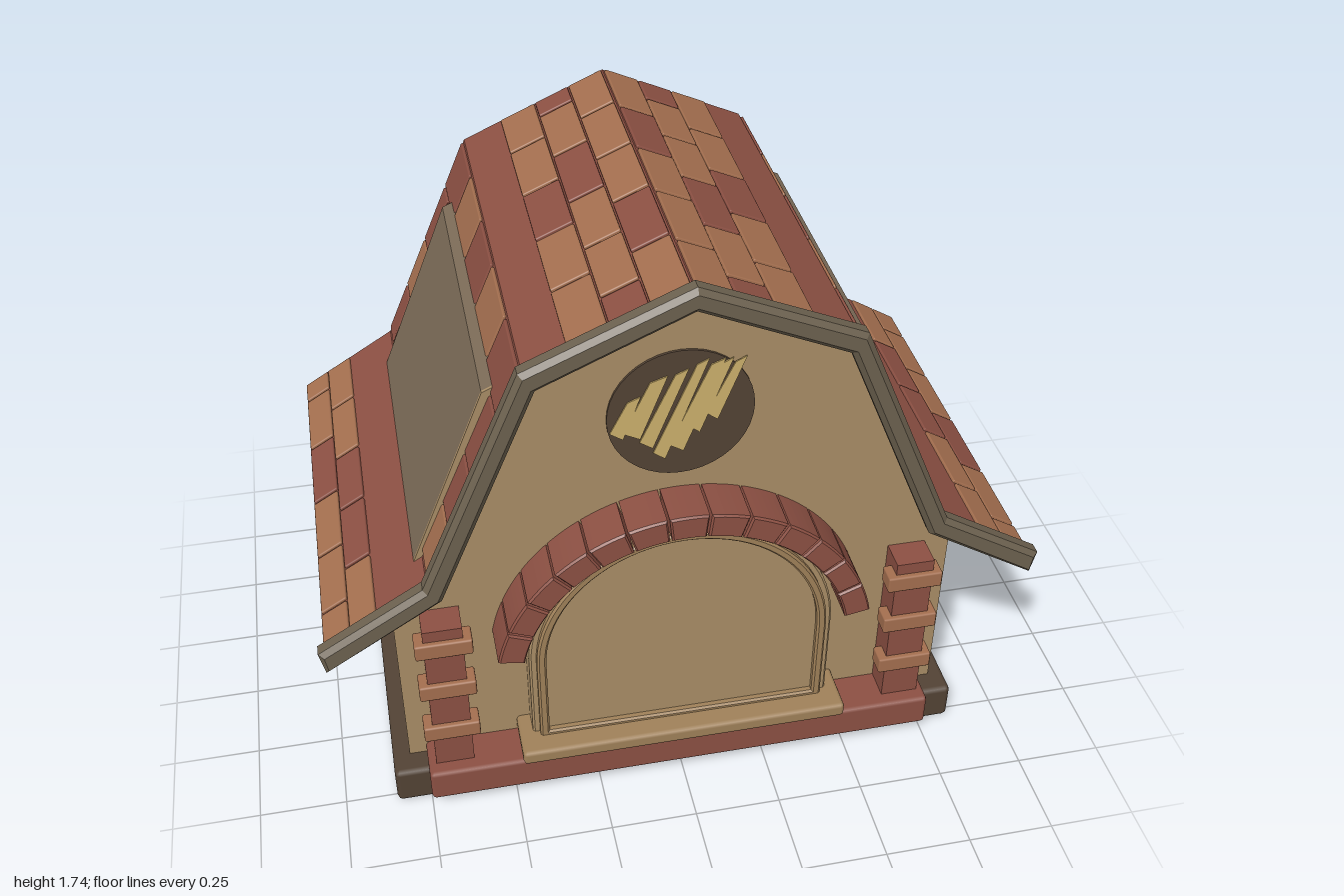
import * as THREE from 'three';
import { RoundedBoxGeometry } from 'three/addons/geometries/RoundedBoxGeometry.js';

const mat = (name, color, double = false) => {
  const m = new THREE.MeshStandardMaterial({ color });
  m.name = name;
  if (double) m.side = THREE.DoubleSide;
  return m;
};

export function createModel() {
  const M = {
    plaster: mat('tan plaster', 0xa98d66),
    wall: mat('grey brown wall', 0x7b6b57),
    red: mat('red brick', 0x8c5043),
    light: mat('light brick', 0xa46f4f),
    dark: mat('dark wood', 0x534335),
    trim: mat('roof trim', 0x6c614f),
    frame: mat('window wood', 0xa08159),
    mint: mat('mint glass', 0x8f9f89, true),
    yellow: mat('yellow glass', 0xcdb06c, true),
    brown: mat('brown glass', 0x98694f, true),
  };
  const root = new THREE.Group();
  root.name = 'barnHouse';

  const add = (name, geo, material, x = 0, y = 0, z = 0, parent = root) => {
    const m = new THREE.Mesh(geo, material);
    m.name = name;
    m.position.set(x, y, z);
    parent.add(m);
    return m;
  };
  // box given by its limits, with an optional softened edge
  const box = (name, material, x0, x1, y0, y1, z0, z1, r = 0, parent = root) => {
    const d = [x1 - x0, y1 - y0, z1 - z0];
    const geo = r ? new RoundedBoxGeometry(...d, 1, r) : new THREE.BoxGeometry(...d);
    return add(name, geo, material, (x0 + x1) / 2, (y0 + y1) / 2, (z0 + z1) / 2, parent);
  };
  const poly = (pts) => new THREE.Shape(pts.map(([x, y]) => new THREE.Vector2(x, y)));
  const extrude = (shape, depth, bevel = 0) => {
    const g = new THREE.ExtrudeGeometry(shape, {
      depth: depth - 2 * bevel, curveSegments: 20, bevelEnabled: bevel > 0,
      bevelSize: bevel, bevelOffset: -bevel, bevelThickness: bevel, bevelSegments: 1,
    });
    return g.translate(0, 0, bevel);
  };
  // closed outline from the right half, mirrored to the left
  const mirrored = (pts) =>
    poly([...pts, ...pts.filter((p) => p[0] > 0).reverse().map(([x, y]) => [-x, y])]);
  // folded band between an upper and a lower half line, ridge first
  const band = (top, under) => {
    const full = (h) => [...h.slice(1).reverse().map(([x, y]) => [-x, y]), ...h];
    return poly([...full(top).reverse(), ...full(under)]);
  };

  // Walls
  const gable = mirrored([[0.8, 0.1], [0.8, 0.68], [0.51, 1.395], [0, 1.63]]);
  add('walls', extrude(gable, 0.93), M.wall, 0, 0, -0.48);
  add('frontWall', extrude(gable, 0.009), M.plaster, 0, 0, 0.45);
  box('base', M.dark, -0.85, 0.85, 0, 0.12, -0.53, 0.53, 0.015);

  // Roof sheet and front trim
  const line = [[0, 1.715], [0.42, 1.53], [0.7, 0.882], [0.985, 0.708]];
  const under = [[0, 1.693], [0.405, 1.514], [0.685, 0.868], [0.975, 0.69]];
  add('roof', extrude(band(line, under), 1.21), M.red, 0, 0, -0.63);
  const trimTop = [[0, 1.74], [0.435, 1.552], [0.712, 0.907], [1.0, 0.73]];
  const trimLow = [[0, 1.672], [0.395, 1.497], [0.665, 0.86], [0.985, 0.66]];
  add('roofTrim', extrude(band(trimTop, trimLow), 0.06, 0.014), M.trim, 0, 0, 0.57);

  // Roof tiles: slope number, start and end along it, joints in z, colours (L light, R red)
  const even = [-0.625, -0.38, -0.13, 0.11, 0.36, 0.575];
  const odd = [-0.625, -0.5, -0.27, -0.03, 0.23, 0.48, 0.575];
  const rows = [
    [0, 0.01, 0.24, even, 'LRLLL'],
    [0, 0.25, 0.48, odd, 'RLLRLR'],
    [0, 0.49, 0.73, even, 'LLRLL'],
    [1, 0.01, 0.22, even, 'RLRLR'],
    [1, 0.23, 0.49, odd, 'RLRLRR'],
    [1, 0.50, 0.73, even, 'RRLRL'],
    [1, 0.74, 0.97, odd, 'LRLRLR'],
    [2, 0.48, 0.73, even, 'LRRLL'],
    [2, 0.74, 0.99, odd, 'LLLRLL'],
  ];
  const tiles = new THREE.Group();
  tiles.name = 'roofTiles';
  root.add(tiles);
  for (const s of [1, -1]) {
    for (const [k, t0, t1, joints, colours] of rows) {
      const [ax, ay] = line[k], [bx, by] = line[k + 1];
      const t = (t0 + t1) / 2, length = Math.hypot(bx - ax, by - ay);
      for (let i = 0; i < colours.length; i++) {
        const z0 = joints[i] + 0.005, z1 = joints[i + 1] - 0.005;
        const geo = new RoundedBoxGeometry(length * (t1 - t0), 0.016, z1 - z0, 1, 0.004);
        const tile = add('tile', geo, colours[i] === 'L' ? M.light : M.red,
          s * (ax + (bx - ax) * t), ay + (by - ay) * t, s * (z0 + z1) / 2, tiles);
        if (s < 0) tile.position.z -= 0.05;
        tile.rotation.z = s * Math.atan2(by - ay, bx - ax);
      }
    }
  }

  // Brick step and corner pillars
  box('brickStep', M.red, -0.75, 0.75, 0.055, 0.16, 0.45, 0.59, 0.012);
  for (const s of [1, -1]) {
    const pillar = new THREE.Group();
    pillar.name = s > 0 ? 'leftPillar' : 'rightPillar';
    root.add(pillar);
    const cx = s * 0.672;
    box('pillarCore', M.red, cx - 0.055, cx + 0.055, 0.02, 0.685, 0.45, 0.547, 0, pillar);
    for (const y of [0.27, 0.435, 0.595])
      box('pillarBlock', M.light, cx - 0.08, cx + 0.08, y, y + 0.053, 0.5, 0.562, 0.006, pillar);
  }

  // Arched window
  const arch = (w, y0, spring, C = THREE.Shape) => {
    const p = new C();
    p.moveTo(-w, y0);
    p.lineTo(w, y0);
    p.lineTo(w, spring);
    p.absarc(0, spring, w, 0, Math.PI, false);
    p.lineTo(-w, y0);
    return p;
  };
  const archRing = (wOut, wIn, y0, y1) => {
    const p = arch(wOut, y0, 0.495);
    p.holes.push(arch(wIn, y1, 0.495, THREE.Path));
    return p;
  };
  add('outerFrame', extrude(archRing(0.44, 0.415, 0.2, 0.21), 0.075, 0.006), M.plaster, 0, 0, 0.455);
  add('innerFrame', extrude(archRing(0.42, 0.393, 0.2, 0.225), 0.095, 0.006), M.frame, 0, 0, 0.455);
  add('windowPane', extrude(arch(0.395, 0.22, 0.495), 0.025), M.brown, 0, 0, 0.455);
  add('mintPane', extrude(poly([[-0.38, 0.24], [-0.01, 0.24], [-0.01, 0.525], [-0.38, 0.44]]), 0.006), M.mint, 0, 0, 0.48);
  add('yellowPane', extrude(poly([[0.01, 0.24], [0.38, 0.24], [0.38, 0.44], [0.01, 0.525]]), 0.006), M.yellow, 0, 0, 0.48);
  for (const y of [0.395, 0.583])
    box('crossBar', M.dark, -0.395, 0.395, y - 0.012, y + 0.012, 0.475, 0.515);
  box('centreBar', M.brown, -0.015, 0.015, 0.225, 0.888, 0.475, 0.522);
  box('windowSill', M.frame, -0.48, 0.48, 0.165, 0.212, 0.45, 0.612, 0.012);

  // Brick arch over the window
  const bricks = 13, start = 0.187, step = (Math.PI - 2 * start) / bricks;
  for (let i = 0; i < bricks; i++) {
    const a = start + i * step + 0.006, b = start + (i + 1) * step - 0.006;
    const p = new THREE.Shape();
    p.absarc(0, 0.47, 0.54, a, b, false);
    p.absarc(0, 0.47, 0.466, b, a, true);
    const geo = new THREE.ExtrudeGeometry(p, {
      depth: 0.13, curveSegments: 3, bevelSize: 0.005, bevelOffset: -0.005,
      bevelThickness: 0.006, bevelSegments: 1,
    });
    add('archBrick', geo, M.red, 0, 0, 0.458);
  }

  // Round attic window with slanted streaks of light
  const disc = new THREE.CylinderGeometry(0.197, 0.197, 0.012, 40).rotateX(Math.PI / 2);
  add('roundWindow', disc, M.dark, 0, 1.26, 0.46);
  const streaks = [ // bottom x, y, top x, y, width
    [-0.172, 1.21, -0.125, 1.33, 0.035], [-0.132, 1.205, -0.06, 1.385, 0.046],
    [-0.093, 1.17, 0.0, 1.4, 0.035], [-0.058, 1.13, 0.055, 1.425, 0.032],
    [-0.012, 1.15, 0.095, 1.42, 0.038], [0.035, 1.205, 0.12, 1.42, 0.03],
    [0.082, 1.24, 0.155, 1.42, 0.03],
  ];
  for (const [x0, y0, x1, y1, w] of streaks) {
    const h = w / 2;
    add('lightStreak', extrude(poly([[x0 - h, y0 + 0.012], [x0 + h, y0 - 0.012],
      [x1 + h, y1], [x1 - h, y1 - 0.015]]), 0.004), M.yellow, 0, 0, 0.466);
  }
  return root;
}
